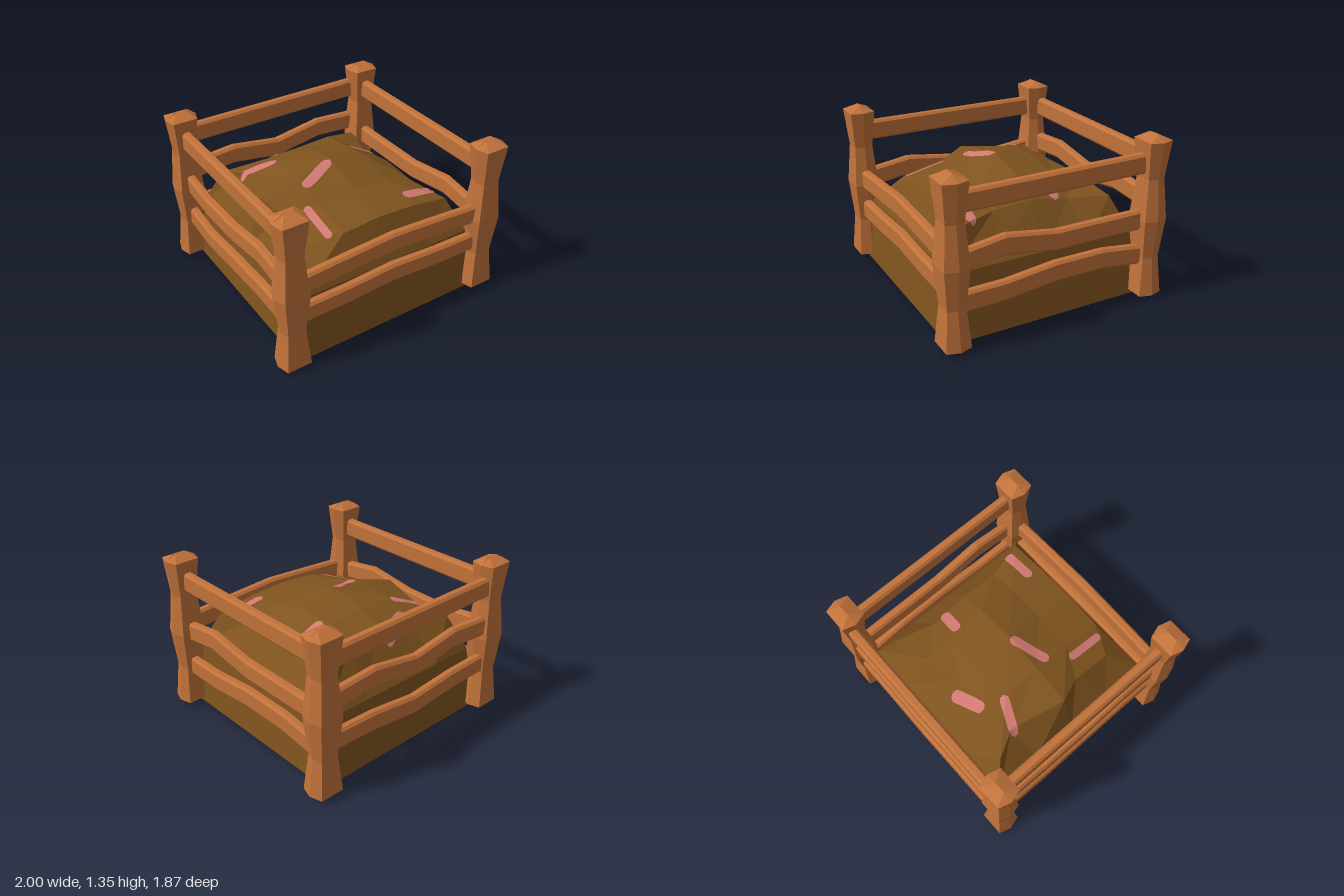
import * as THREE from 'three';

const wood = new THREE.MeshStandardMaterial({ color: 0xc1723a });
wood.name = 'wood';
const soil = new THREE.MeshStandardMaterial({ color: 0x80541f });
soil.name = 'soil';
const pink = new THREE.MeshStandardMaterial({ color: 0xd27a74, side: THREE.DoubleSide });
pink.name = 'worm pink';

// Faceted geometry from a loose list of triangle corners
function facet(points) {
  const geo = new THREE.BufferGeometry();
  geo.setAttribute('position', new THREE.Float32BufferAttribute(points.flat(), 3));
  geo.computeVertexNormals();
  return geo;
}

const quad = (out, a, b, c, d) => out.push(a, b, c, a, c, d);

// Joins rings that run anticlockwise around the direction of travel
function loft(rings, capped = true) {
  const out = [];
  const n = rings[0].length;
  for (let k = 0; k < rings.length - 1; k++) {
    for (let i = 0; i < n; i++) {
      const j = (i + 1) % n;
      quad(out, rings[k][i], rings[k][j], rings[k + 1][j], rings[k + 1][i]);
    }
  }
  if (capped) {
    const first = rings[0], last = rings[rings.length - 1];
    for (let i = 1; i < n - 1; i++) {
      out.push(first[0], first[i + 1], first[i]);
      out.push(last[0], last[i], last[i + 1]);
    }
  }
  return out;
}

function mesh(name, geo, mat) {
  const m = new THREE.Mesh(geo, mat);
  m.name = name;
  return m;
}

// Six-sided post, pinched twice, with a short ridge on top
function postGeometry() {
  const hex = [[-0.1, 0.1], [0.1, 0.1], [0.13, 0], [0.1, -0.1], [-0.1, -0.1], [-0.13, 0]];
  const levels = [[0.035, 1, 1], [0.35, 0.73, 0.73], [0.67, 1, 1], [1.0, 0.73, 0.73], [1.3, 1, 1], [1.345, 0.37, 0.01]];
  return facet(loft(levels.map(([y, sx, sz]) => hex.map(([x, z]) => [x * sx, y, z * sz]))));
}

// Chamfered plank along x whose centre line bends through the given heights
function railGeometry(heights, half) {
  const section = [[0.08, -0.02], [0.08, 0.02], [0.06, 0.038], [-0.06, 0.038],
    [-0.08, 0.02], [-0.08, -0.02], [-0.06, -0.038], [0.06, -0.038]];
  const xs = heights.length === 2 ? [-half, half] : [-half, -0.42, 0, 0.42, half];
  return facet(loft(xs.map((x, i) => section.map(([y, z]) => [x, heights[i] + y, z]))));
}

// Upper surface of the heap, rows from back to front
const heap = [
  [[-0.64, 0.82, -0.63], [-0.32, 0.91, -0.48], [0, 0.92, -0.48], [0.32, 0.9, -0.53], [0.64, 0.8, -0.63]],
  [[-0.53, 0.88, -0.42], [-0.32, 0.97, -0.3], [0, 0.99, -0.3], [0.32, 0.94, -0.3], [0.55, 0.81, -0.3]],
  [[-0.64, 0.92, 0.02], [-0.32, 1.0, 0.02], [0, 1.05, 0.02], [0.32, 0.99, 0.02], [0.55, 0.86, 0.02]],
  [[-0.56, 0.86, 0.22], [-0.32, 0.92, 0.34], [0, 0.93, 0.34], [0.32, 0.91, 0.34], [0.55, 0.84, 0.34]],
  [[-0.56, 0.79, 0.56], [-0.32, 0.85, 0.66], [0, 0.875, 0.66], [0.32, 0.86, 0.66], [0.64, 0.81, 0.66]],
];

function heapGeometry() {
  const edge = [];
  for (let i = 0; i < 4; i++) edge.push([4, i]);
  for (let i = 4; i > 0; i--) edge.push([i, 4]);
  for (let i = 4; i > 0; i--) edge.push([0, i]);
  for (let i = 0; i < 4; i++) edge.push([i, 0]);
  const border = (half, y) => edge.map(([r, c]) => [(c - 2) / 2 * half, y, 0.02 + (r - 2) / 2 * half]);
  // sloping sides
  const out = loft([border(0.83, 0), border(0.77, 0.53), edge.map(([r, c]) => heap[r][c])], false);
  // faceted top
  for (let r = 0; r < 4; r++) {
    for (let c = 0; c < 4; c++) {
      quad(out, heap[r][c], heap[r + 1][c], heap[r + 1][c + 1], heap[r][c + 1]);
    }
  }
  // underside
  quad(out, [-0.83, 0, -0.81], [0.83, 0, -0.81], [0.83, 0, 0.85], [-0.83, 0, 0.85]);
  return facet(out);
}

// Thin round-ended strip laid over the heap between two ground points
function wormGeometry(ground, [x0, z0, x1, z1, width]) {
  const ray = new THREE.Raycaster();
  const down = new THREE.Vector3(0, -1, 0);
  const drape = (x, z) => {
    ray.set(new THREE.Vector3(x, 3, z), down);
    const hit = ray.intersectObject(ground)[0];
    return [x, (hit ? hit.point.y : 0) + 0.008, z];
  };
  const length = Math.hypot(x1 - x0, z1 - z0);
  const dx = (x1 - x0) / length, dz = (z1 - z0) / length;
  const steps = 24, across = 4, rows = [];
  for (let i = 0; i <= steps; i++) {
    const s = length * i / steps;
    const e = Math.min(1, Math.min(s, length - s) / (width / 2));
    const half = Math.max(0.006, width / 2 * Math.sqrt(1 - (1 - e) ** 2));
    const row = [];
    for (let j = 0; j <= across; j++) {
      const t = half * (2 * j / across - 1);
      row.push(drape(x0 + dx * s + dz * t, z0 + dz * s - dx * t));
    }
    rows.push(row);
  }
  const out = [];
  for (let i = 0; i < steps; i++) {
    for (let j = 0; j < across; j++) {
      quad(out, rows[i][j], rows[i + 1][j], rows[i + 1][j + 1], rows[i][j + 1]);
    }
  }
  return facet(out);
}

export function createModel() {
  const model = new THREE.Group();
  model.name = 'compostBin';

  // corner posts
  const postGeo = postGeometry();
  for (const sx of [-1, 1]) {
    for (const sz of [-1, 1]) {
      const post = mesh('cornerPost', postGeo, wood);
      post.position.set(sx * 0.87, 0, sz * 0.835);
      model.add(post);
    }
  }

  // rails: side rails run from back to front
  const top = [1.12, 1.12];
  const sides = [
    { name: 'frontRail', at: [0, 0.84], turn: 0, half: 0.785,
      rails: [[0.455, 0.46, 0.485, 0.46, 0.455], [0.72, 0.745, 0.77, 0.745, 0.72]] },
    { name: 'backRail', at: [0, -0.865], turn: 0, half: 0.785,
      rails: [[0.44, 0.43, 0.39, 0.44, 0.45], [0.78, 0.81, 0.745, 0.815, 0.79], top] },
    { name: 'leftRail', at: [0.868, 0], turn: -Math.PI / 2, half: 0.765,
      rails: [[0.365, 0.41, 0.41, 0.365, 0.36], [0.665, 0.665, 0.665, 0.73, 0.68], top] },
    { name: 'rightRail', at: [-0.868, 0], turn: -Math.PI / 2, half: 0.765,
      rails: [[0.4, 0.36, 0.39, 0.41, 0.4], [0.72, 0.68, 0.69, 0.75, 0.7], top] },
  ];
  for (const side of sides) {
    for (const heights of side.rails) {
      const rail = mesh(side.name, railGeometry(heights, side.half), wood);
      rail.position.set(side.at[0], 0, side.at[1]);
      rail.rotation.y = side.turn;
      model.add(rail);
    }
  }

  // soil heap
  const ground = mesh('soilHeap', heapGeometry(), soil);
  model.add(ground);

  // worms: start x, z, end x, z, width
  const worms = [
    [-0.28, -0.48, 0, -0.57, 0.08], [-0.58, -0.43, -0.31, -0.31, 0.075], [0.33, -0.22, 0.56, -0.19, 0.085],
    [-0.33, 0.14, -0.02, 0.02, 0.08], [-0.41, 0.29, -0.41, 0.63, 0.06], [0.32, 0.54, 0.62, 0.54, 0.08],
  ];
  for (const w of worms) model.add(mesh('worm', wormGeometry(ground, w), pink));

  return model;
}
